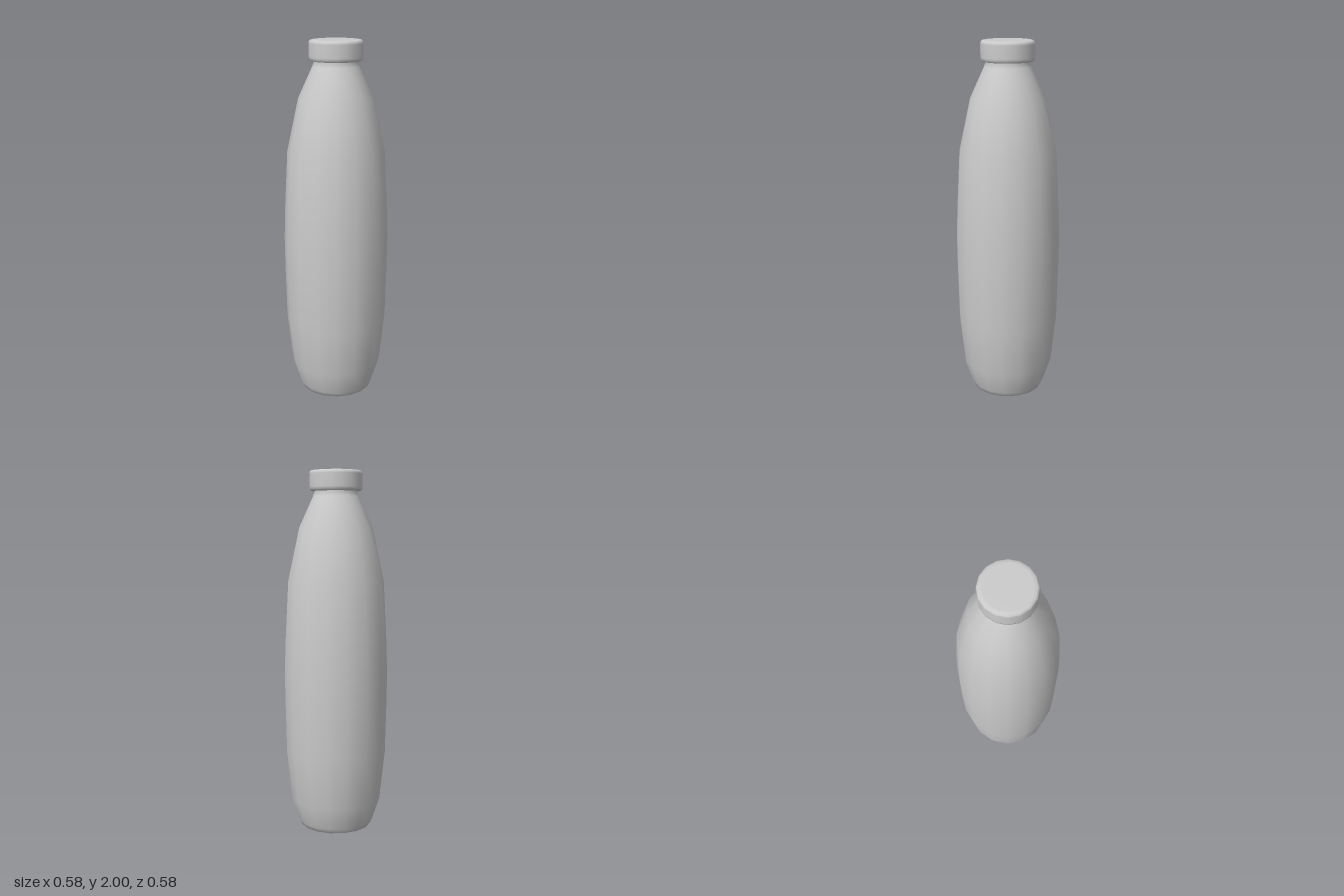
import * as THREE from 'three';

const SIDES = 16;
const material = new THREE.MeshStandardMaterial({ color: 0xcccccc });

// Turned part from [radius, height] pairs, listed from bottom to top
function turned(name, profile) {
  const points = profile.map(([r, y]) => new THREE.Vector2(r, y));
  const mesh = new THREE.Mesh(new THREE.LatheGeometry(points, SIDES), material);
  mesh.name = name;
  return mesh;
}

export function createModel() {
  const bottle = new THREE.Group();
  bottle.name = 'bottle';

  // Shallow recessed base, rounded foot, swelling belly, tapering shoulder and neck
  bottle.add(turned('body', [
    [0, 0.012], [0.16, 0.012], [0.18, 0], [0.196, 0.003], [0.21, 0.03],
    [0.253, 0.16], [0.282, 0.43], [0.289, 0.72], [0.291, 0.9], [0.285, 1.08],
    [0.268, 1.4], [0.205, 1.69], [0.127, 1.86], [0.12, 1.88], [0.12, 1.92],
  ]));

  // Screw cap with softened rims and closed underside
  bottle.add(turned('cap', [
    [0, 1.89], [0.12, 1.888], [0.138, 1.889], [0.146, 1.897],
    [0.147, 1.91], [0.147, 1.98], [0.145, 1.991], [0.136, 1.998],
    [0.12, 2], [0, 2],
  ]));

  return bottle;
}
